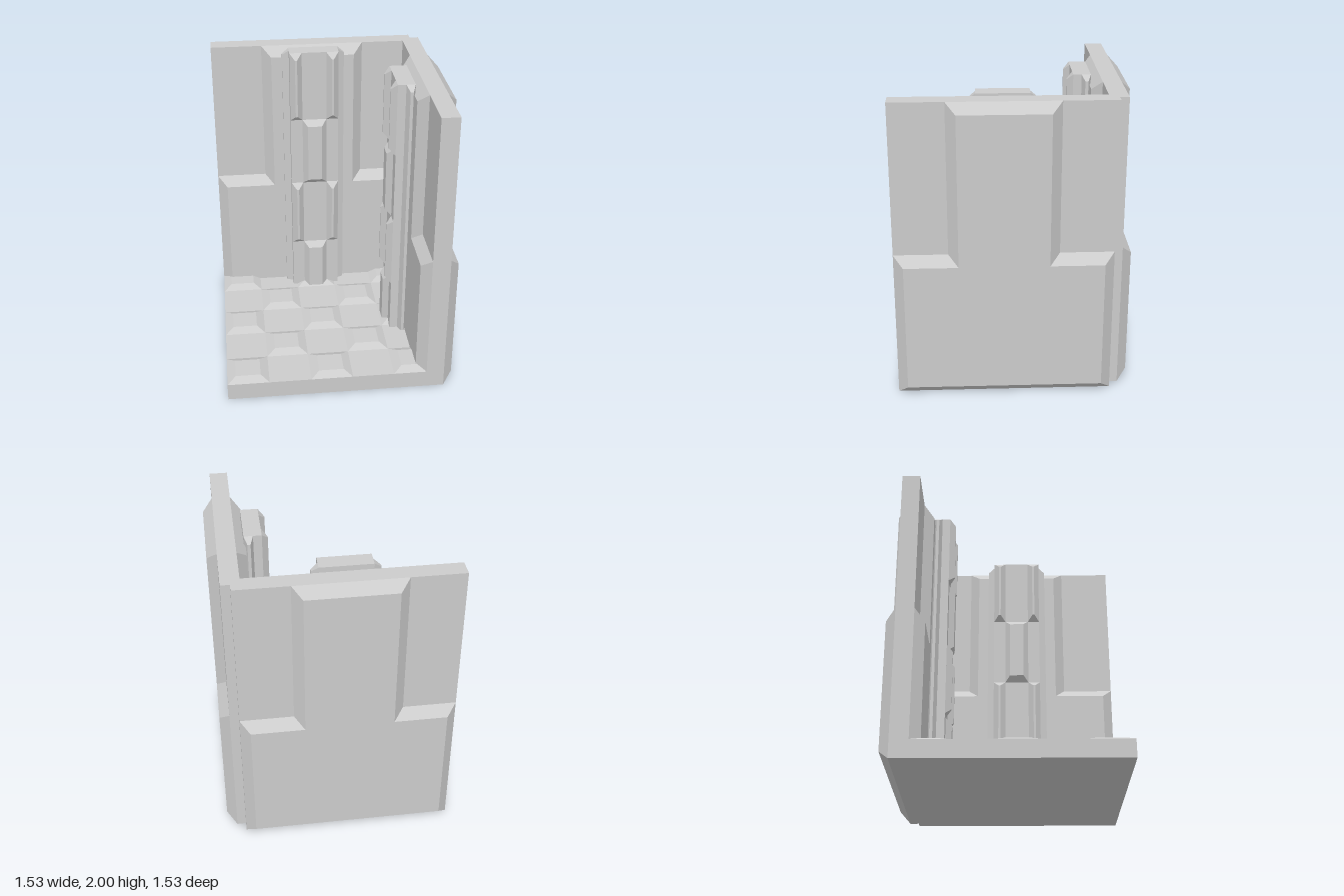
import * as THREE from 'three';

const material = new THREE.MeshStandardMaterial({ color: 0xcccccc, flatShading: true });
const LENGTH = 1.41;   // wall run and floor side
const HEIGHT = 2;
const BEVEL = 0.065;

function add(parent, name, geometry, x = 0, y = 0, z = 0) {
  const mesh = new THREE.Mesh(geometry, material);
  mesh.name = name;
  mesh.position.set(x, y, z);
  parent.add(mesh);
  return mesh;
}

// Block standing on z = 0 whose outer (+z) face is inset on all four sides
function bevelledBrick(width, height, depth, insetX, insetY) {
  const box = new THREE.BoxGeometry(width, height, depth);
  const p = box.attributes.position;
  for (let i = 0; i < p.count; i++) {
    if (p.getZ(i) > 0) {
      p.setX(i, p.getX(i) - Math.sign(p.getX(i)) * insetX);
      p.setY(i, p.getY(i) - Math.sign(p.getY(i)) * insetY);
    }
  }
  box.translate(0, 0, depth / 2);
  const flat = box.toNonIndexed();
  flat.computeVertexNormals();
  return flat;
}

// Inverted T, bevelled on both faces of the wall
function panelGeometry() {
  const foot = LENGTH / 2, stem = 0.355;
  const outline = [
    [-foot, 0], [foot, 0], [foot, 1], [stem, 1],
    [stem, HEIGHT], [-stem, HEIGHT], [-stem, 1], [-foot, 1],
  ].map(([x, y]) => new THREE.Vector2(x, y));
  return new THREE.ExtrudeGeometry(new THREE.Shape(outline), {
    depth: 0.12, bevelEnabled: true, bevelSegments: 1,
    bevelThickness: BEVEL, bevelSize: BEVEL, bevelOffset: -BEVEL,
  });
}

// Brick pillar on the inner face of a wall
function createPillar() {
  const pillar = new THREE.Group();
  pillar.name = 'pillar';
  const front = -0.41;
  add(pillar, 'pillarCore', new THREE.BoxGeometry(0.34, HEIGHT, 0.115), 0, 1, front - 0.0575);

  // Staggered courses: one whole brick, then two half bricks
  const whole = bevelledBrick(0.17, 0.5, 0.04, 0.035, 0.04);
  const half = bevelledBrick(0.085, 0.5, 0.04, 0.035, 0.04);
  for (let course = 0; course < 4; course++) {
    const y = 0.25 + course * 0.5;
    if (course % 2 === 0) {
      add(pillar, 'pillarBrick', whole, 0, y, front);
    } else {
      for (const side of [-1, 1]) add(pillar, 'pillarHalfBrick', half, side * 0.1275, y, front);
    }
  }

  // Full-height ridge on each flank
  const ridge = bevelledBrick(0.06, HEIGHT, 0.046, 0.02, 0.035);
  for (const side of [-1, 1]) {
    add(pillar, 'pillarRidge', ridge, side * 0.17, 1, -0.495).rotation.y = side * Math.PI / 2;
  }
  return pillar;
}

function createWall(name) {
  const wall = new THREE.Group();
  wall.name = name;
  add(wall, 'wallCore', new THREE.BoxGeometry(LENGTH, HEIGHT, 0.12), 0, 1, -0.64);
  add(wall, 'wallPanel', panelGeometry(), 0, 0, -0.70);
  wall.add(createPillar());
  return wall;
}

// Slab with a checkerboard of raised tiles
function createFloor() {
  const floor = new THREE.Group();
  floor.name = 'floor';
  const thickness = 0.12, count = 5, cell = LENGTH / count;
  add(floor, 'floorSlab', new THREE.BoxGeometry(LENGTH, thickness, LENGTH), 0, thickness / 2, 0);
  const tile = bevelledBrick(cell, cell, 0.027, 0.057, 0.057);
  tile.rotateX(-Math.PI / 2);
  for (let row = 0; row < count; row++) {
    for (let col = row % 2; col < count; col += 2) {
      add(floor, 'floorTile', tile, (col - 2) * cell, thickness, (row - 2) * cell);
    }
  }
  return floor;
}

export function createModel() {
  const model = new THREE.Group();
  model.name = 'cornerRoom';

  const floor = createFloor();
  floor.position.set(-0.065, 0, 0.065);

  const backWall = createWall('backWall');
  backWall.position.x = -0.065;

  const sideWall = createWall('leftWall');
  sideWall.rotation.y = -Math.PI / 2;
  sideWall.position.z = 0.065;

  model.add(floor, backWall, sideWall);
  return model;
}
